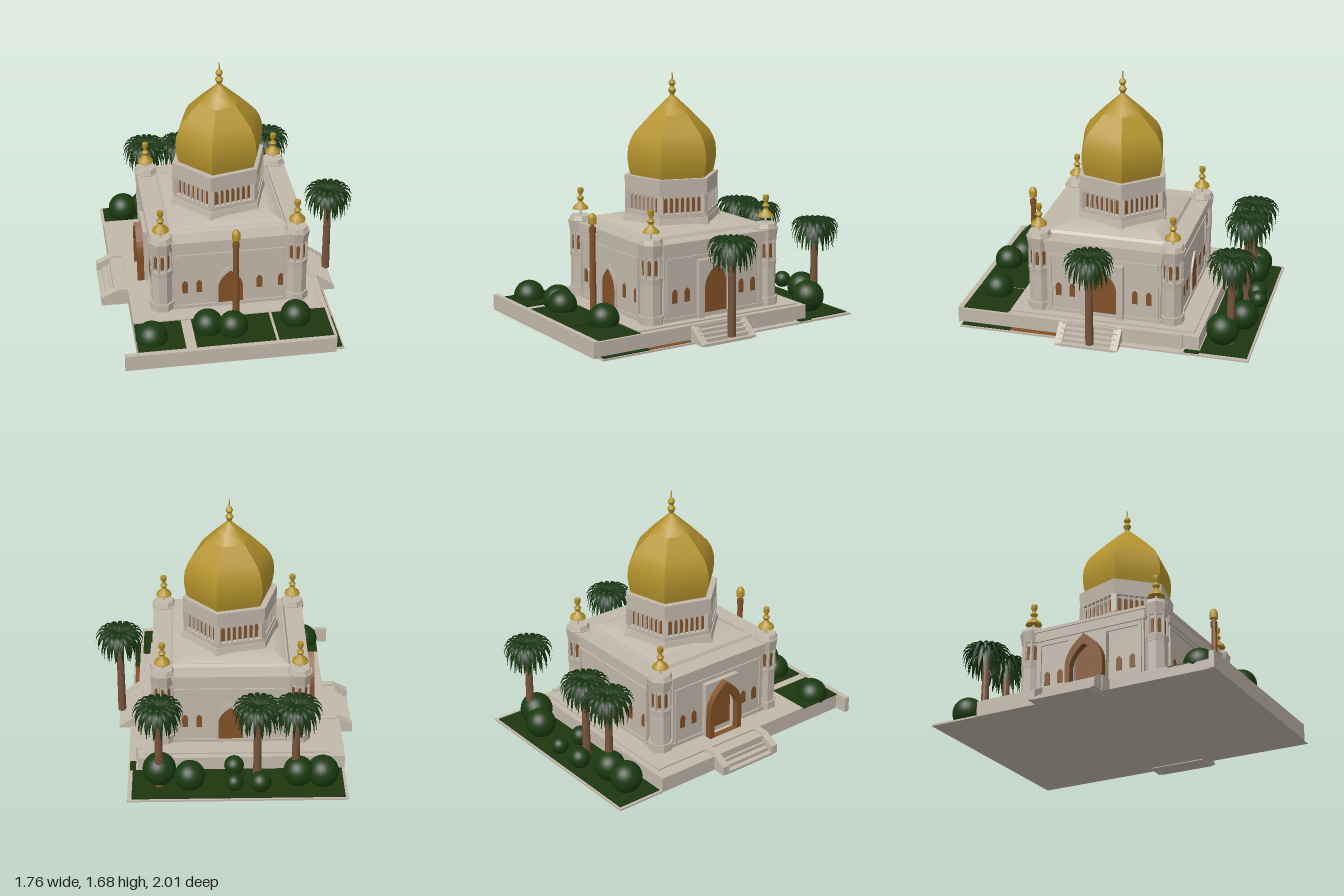
import * as THREE from 'three';
import { toCreasedNormals } from 'three/addons/utils/BufferGeometryUtils.js';

const mat = (name, color, extra = {}) => Object.assign(new THREE.MeshStandardMaterial({ color, ...extra }), { name });
const D = { side: THREE.DoubleSide };

export function createModel() {
  const stone = mat('stone', 0xc2b8ab), gold = mat('gold', 0xb3922c), wood = mat('wood', 0x825127);
  const bush = mat('bush green', 0x1a3a10, D), leaf = mat('palm leaf green', 0x163310, D);
  const lawn = mat('lawn green', 0x1d360f), trunk = mat('trunk brown', 0x76533a);
  const model = new THREE.Group();
  const CX = -0.035, CZ = 0.015; // centre of the building

  const add = (parent, name, geo, m, x = 0, y = 0, z = 0, ry = 0) => {
    const mesh = new THREE.Mesh(geo, m);
    mesh.name = name;
    mesh.position.set(x, y, z);
    mesh.rotation.y = ry;
    parent.add(mesh);
    return mesh;
  };
  const group = (name, x = 0, y = 0, z = 0, ry = 0, parent = model) => {
    const g = new THREE.Group();
    g.name = name;
    g.position.set(x, y, z);
    g.rotation.y = ry;
    parent.add(g);
    return g;
  };
  // Box given by its limits
  const box = (parent, name, m, x0, x1, y0, y1, z0, z1) =>
    add(parent, name, new THREE.BoxGeometry(x1 - x0, y1 - y0, z1 - z0), m, (x0 + x1) / 2, (y0 + y1) / 2, (z0 + z1) / 2);
  // Upright prism or frustum with crisp edges
  const prism = (parent, name, m, sides, rTop, rBot, y0, y1, x = 0, z = 0, turn = 0) =>
    add(parent, name, toCreasedNormals(new THREE.CylinderGeometry(rTop, rBot, y1 - y0, sides, 1, false, turn), 0.5), m, x, (y0 + y1) / 2, z);
  const lathe = (pts, sides, turn = 0) =>
    toCreasedNormals(new THREE.LatheGeometry(pts.map(p => new THREE.Vector2(...p)), sides, turn), 0.75);
  // Pointed arch outline, base at y = 0
  const arch = (w, h, Type = THREE.Shape) => {
    const s = new Type(), a = w / 2, spring = h - w * 0.75;
    s.moveTo(-a, 0);
    s.lineTo(a, 0);
    s.lineTo(a, spring);
    s.quadraticCurveTo(a, spring + w * 0.4, 0, h);
    s.quadraticCurveTo(-a, spring + w * 0.4, -a, spring);
    s.lineTo(-a, 0);
    return s;
  };
  const extrude = (shape, depth) => new THREE.ExtrudeGeometry(shape, { depth, bevelEnabled: false, curveSegments: 6 });

  // Grounds: underside, base slab, raised terrace, low walls, lawns
  add(model, 'underside', new THREE.PlaneGeometry(1.44, 2).rotateX(Math.PI / 2), stone, -0.07, 0.01, 0);
  box(model, 'baseSlab', stone, -0.7, 0.65, 0.01, 0.022, -0.66, 0.97);
  box(model, 'backSlab', stone, -0.79, 0.65, 0.01, 0.022, -1, -0.66);
  box(model, 'terrace', stone, -0.7, 0.585, 0.022, 0.115, -0.66, 0.97);
  box(model, 'backLeftTerrace', stone, -0.79, -0.7, 0.012, 0.115, -0.66, 0.25);
  box(model, 'frontWall', stone, -0.79, 0.59, 0.015, 0.125, 0.965, 1);
  box(model, 'terraceStep', stone, -0.7, 0.54, 0.115, 0.125, -0.62, 0.645);
  box(model, 'rightEdgeWall', stone, 0.565, 0.6, 0.022, 0.122, -0.55, 0.97);
  [[-0.7, -0.39], [-0.32, 0.2], [0.22, 0.58]].forEach(([a, b]) =>
    box(model, 'frontLawn', lawn, a, b, 0.114, 0.123, 0.65, 0.966));
  box(model, 'backLawn', lawn, -0.77, 0.62, 0.02, 0.028, -0.985, -0.67);
  box(model, 'sideLawn', lawn, 0.6, 0.64, 0.02, 0.028, -0.67, -0.57);
  box(model, 'sideBed', wood, 0.6, 0.635, 0.02, 0.027, 0.3, 0.62);
  box(model, 'sideLawn', lawn, 0.6, 0.64, 0.02, 0.027, 0.62, 0.96);

  // Side entrance stairs with sloping cheek walls
  const stairs = (name, x0, x1, z0, z1, flat, endHeight) => {
    const g = group(name), n = 5;
    for (let i = 0; i < n; i++) {
      const a = x0 + (x1 - x0) * i / n, b = x0 + (x1 - x0) * (i + 1) / n;
      box(g, 'step', stone, Math.min(a, b), Math.max(a, b), 0.005, 0.115 - i * 0.023, z0, z1);
    }
    [z0, z1].forEach(z => {
      const s = new THREE.Shape();
      s.moveTo(x0, 0.01);
      s.lineTo(x0, 0.125);
      s.lineTo(x0 + (x1 - x0) * flat, 0.125);
      s.lineTo(x1, endHeight);
      s.lineTo(x1, 0.01);
      add(g, 'cheekWall', extrude(s, 0.05), stone, 0, 0, z - 0.025);
    });
  };
  stairs('leftStairs', -0.7, -0.88, -0.2, 0.22, 0.4, 0.07);
  stairs('rightStairs', 0.58, 0.73, -0.12, 0.26, 0.05, 0.02);

  // Main hall: two crossing blocks, cornices and sloping roof
  const hall = group('hall');
  const block = (hx, hz, top, name) => box(hall, name, stone, CX - hx, CX + hx, 0.12, top, CZ - hz, CZ + hz);
  block(0.375, 0.5, 0.56, 'frontBackBays');
  block(0.505, 0.39, 0.56, 'sideBays');
  block(0.45, 0.45, 0.56, 'coreBlock');
  [[0.385, 0.51], [0.515, 0.4]].forEach(([hx, hz]) => {
    box(hall, 'cornice', stone, CX - hx, CX + hx, 0.56, 0.625, CZ - hz, CZ + hz);
    box(hall, 'corniceLip', stone, CX - hx - 0.008, CX + hx + 0.008, 0.625, 0.645, CZ - hz - 0.008, CZ + hz + 0.008);
    box(hall, 'plinth', stone, CX - hx, CX + hx, 0.12, 0.15, CZ - hz, CZ + hz);
  });
  const S2 = Math.SQRT2;
  prism(hall, 'roofStep', stone, 4, 0.385 * S2, 0.4 * S2, 0.64, 0.665, CX, CZ, Math.PI / 4);
  prism(hall, 'roofSlope', stone, 4, 0.3 * S2, 0.375 * S2, 0.665, 0.7, CX, CZ, Math.PI / 4);

  // Four facades: framed door and arched windows
  const doorFrame = arch(0.195, 0.31);
  doorFrame.holes.push(arch(0.165, 0.275, THREE.Path));
  const tallFrame = new THREE.Shape([[-0.14, 0], [0.14, 0], [0.14, 0.39], [-0.14, 0.39]].map(p => new THREE.Vector2(...p)));
  tallFrame.holes.push(arch(0.19, 0.35, THREE.Path));
  const portal = arch(0.27, 0.39);
  portal.holes.push(arch(0.2, 0.32, THREE.Path));
  [[0, 0.5], [Math.PI / 2, 0.505], [Math.PI, 0.5], [-Math.PI / 2, 0.505]].forEach(([turn, dist], i) => {
    const f = group('facade', CX, 0.125, CZ, turn), side = i % 2;
    add(f, 'door', extrude(side ? arch(0.19, 0.35) : arch(0.165, 0.275), 0.006), wood, 0, 0, dist);
    add(f, 'doorFrame', extrude(side ? tallFrame : doorFrame, side ? 0.035 : 0.012), stone, 0, 0, dist);
    (side ? [-0.31, -0.215, 0.215, 0.31] : [-0.305, -0.21, 0.195, 0.34]).forEach(x =>
      add(f, 'window', extrude(arch(0.038, 0.095), 0.006), wood, x, 0.12, dist));
    [-0.365, 0.365].forEach(x => box(f, 'pilaster', stone, x - 0.01, x + 0.01, 0, 0.41, dist, dist + 0.01));
    box(f, 'wallBand', stone, -0.37, 0.37, 0.4, 0.42, dist, dist + 0.01);
    if (i === 3) add(f, 'outerArch', extrude(portal, 0.045), wood, 0, 0, dist + 0.035);
  });

  // Corner towers with lantern windows and gold finials
  const finial = lathe([[0, 0], [0.055, 0], [0.05, 0.015], [0.022, 0.04], [0.014, 0.055], [0.026, 0.075],
    [0.012, 0.092], [0.011, 0.1], [0.021, 0.118], [0.02, 0.145], [0, 0.15]], 12);
  for (const x of [-0.49, 0.415]) for (const z of [-0.44, 0.47]) {
    const t = group('cornerTower', x, 0, z), o = Math.PI / 8;
    prism(t, 'towerBase', stone, 8, 0.085, 0.085, 0.12, 0.18, 0, 0, o);
    prism(t, 'towerShaft', stone, 8, 0.072, 0.072, 0.18, 0.4, 0, 0, o);
    prism(t, 'towerRing', stone, 8, 0.078, 0.074, 0.39, 0.43, 0, 0, o);
    prism(t, 'lantern', stone, 8, 0.062, 0.062, 0.43, 0.58, 0, 0, o);
    for (let i = 0; i < 8; i++) {
      const a = i * Math.PI / 4;
      const w = group('lanternSide', 0, 0.45, 0, a, t);
      add(w, 'lanternWindow', extrude(arch(0.022, 0.1), 0.004), wood, 0, 0, 0.056);
      add(t, 'lanternColumn', new THREE.CylinderGeometry(0.01, 0.01, 0.16, 6), stone,
        0.066 * Math.sin(a + o), 0.5, 0.066 * Math.cos(a + o));
    }
    prism(t, 'towerCornice', stone, 8, 0.088, 0.074, 0.57, 0.65, 0, 0, o);
    prism(t, 'towerCap', stone, 8, 0.07, 0.08, 0.65, 0.68, 0, 0, o);
    prism(t, 'finialNeck', stone, 8, 0.008, 0.008, 0.68, 0.725);
    add(t, 'towerFinial', finial, gold, 0, 0.722, 0);
  }

  // Six-sided drum with an arcade
  const TURN = 43 * Math.PI / 180;
  const drum = group('drum', CX - 0.007, 0, CZ);
  const ring = (name, rt, rb, y0, y1) => prism(drum, name, stone, 6, rt, rb, y0, y1, 0, 0, TURN);
  ring('drumFoot', 0.332, 0.345, 0.68, 0.74);
  ring('drumSill', 0.325, 0.325, 0.74, 0.77);
  ring('drumCore', 0.295, 0.295, 0.77, 0.9);
  ring('drumTop', 0.328, 0.325, 0.89, 1);
  for (let i = 0; i < 6; i++) {
    const a = TURN + i * Math.PI / 3;
    add(drum, 'cornerPier', new THREE.BoxGeometry(0.04, 0.13, 0.05), stone, 0.297 * Math.sin(a), 0.83, 0.297 * Math.cos(a), a);
    const side = group('arcade', 0, 0, 0, a + Math.PI / 6, drum);
    for (let k = -3; k <= 3; k++) {
      add(side, 'arcadeWindow', extrude(arch(0.024, 0.1), 0.004), wood, k * 0.038, 0.775, 0.2555);
      if (k < 3) add(side, 'arcadeColumn', new THREE.CylinderGeometry(0.007, 0.007, 0.13, 6), stone, (k + 0.5) * 0.038, 0.83, 0.27);
    }
  }

  // Ribbed onion dome with a straight-sided peak, and its finial
  add(model, 'dome', lathe([[0.29, 1], [0.303, 1.05], [0.31, 1.1], [0.311, 1.14], [0.305, 1.19], [0.288, 1.24], [0.262, 1.285],
    [0.205, 1.345], [0.145, 1.405], [0.083, 1.462], [0.02, 1.52]], 6, TURN), gold, CX, 0, CZ);
  add(model, 'domeFinial', lathe([[0.02, 1.515], [0.014, 1.53], [0.028, 1.56], [0.012, 1.585], [0.025, 1.605], [0.02, 1.62],
    [0.005, 1.635], [0.004, 1.68], [0, 1.682]], 12), gold, CX, 0, CZ);

  // Tall post in front of the entrance
  const post = group('entrancePost', -0.02, 0, 0.65);
  prism(post, 'postBase', wood, 8, 0.022, 0.023, 0.12, 0.4);
  prism(post, 'postShaft', wood, 8, 0.019, 0.021, 0.4, 0.66);
  prism(post, 'postCollar', wood, 8, 0.023, 0.023, 0.66, 0.7);
  prism(post, 'postNeck', wood, 8, 0.012, 0.012, 0.7, 0.725);
  add(post, 'postCap', lathe([[0, 0.72], [0.028, 0.722], [0.028, 0.765], [0.018, 0.785], [0, 0.795]], 10), gold);

  // Clipped round bushes: x, centre y, z, radius
  [[-0.6, 0.135, 0.82, 0.105], [-0.23, 0.185, 0.8, 0.1], [-0.07, 0.195, 0.855, 0.097], [0.355, 0.19, 0.79, 0.1],
    [-0.63, 0.12, -0.83, 0.105], [-0.47, 0.13, -0.84, 0.1], [-0.05, 0.12, -0.94, 0.058], [-0.05, 0.13, -0.77, 0.065],
    [-0.22, 0.09, -0.9, 0.07], [0.24, 0.14, -0.89, 0.1], [0.44, 0.125, -0.79, 0.11]].forEach(([x, y, z, r]) =>
    add(model, 'bush', new THREE.SphereGeometry(r, 24, 14, 0, Math.PI * 2, 0, Math.PI * (z > 0 ? 0.62 : 0.85)), bush, x, y, z));

  // Palm frond: a drooping ridged strip built from cross-sections
  const frond = (reach, rise, drop) => {
    const n = 6, pos = [], idx = [];
    for (let i = 0; i <= n; i++) {
      const t = i / n, w = 0.014 * Math.sin(Math.PI * (0.12 + 0.86 * t)) + 0.001;
      const x = reach * Math.sin(t * Math.PI * 0.5), y = rise * Math.sin(Math.PI * t) - drop * t * t;
      pos.push(x, y - w * 0.5, -w, x, y, 0, x, y - w * 0.5, w);
      if (i < n) for (let k = 0; k < 2; k++) {
        const a = i * 3 + k;
        idx.push(a, a + 1, a + 3, a + 1, a + 4, a + 3);
      }
    }
    const g = new THREE.BufferGeometry();
    g.setAttribute('position', new THREE.Float32BufferAttribute(pos, 3));
    g.setIndex(idx);
    g.computeVertexNormals();
    return g;
  };
  const tiers = [[0.11, 0.035, 0.01, 12], [0.165, 0.045, 0.05, 18], [0.155, 0.04, 0.11, 18], [0.13, 0.03, 0.155, 16], [0.09, 0.02, 0.16, 14]]
    .map(([r, u, d, n]) => ({ geo: frond(r, u, d), n }));
  [[0.715, 0.045, 0.04, 0.655], [-0.45, -0.83, 0.025, 0.625], [-0.2, -0.83, 0.025, 0.625], [0.44, -0.84, 0.025, 0.63]].forEach(([x, z, y0, y1]) => {
    const p = group('palm', x, 0, z);
    prism(p, 'palmTrunk', trunk, 12, 0.023, 0.028, y0, y1);
    prism(p, 'palmHeart', leaf, 8, 0.03, 0.02, y1 - 0.05, y1 + 0.015);
    tiers.forEach(({ geo, n }, k) => {
      for (let i = 0; i < n; i++) add(p, 'frond', geo, leaf, 0, y1 + 0.01 - k * 0.006, 0, (i + k * 0.5) * 2 * Math.PI / n);
    });
  });
  return model;
}
